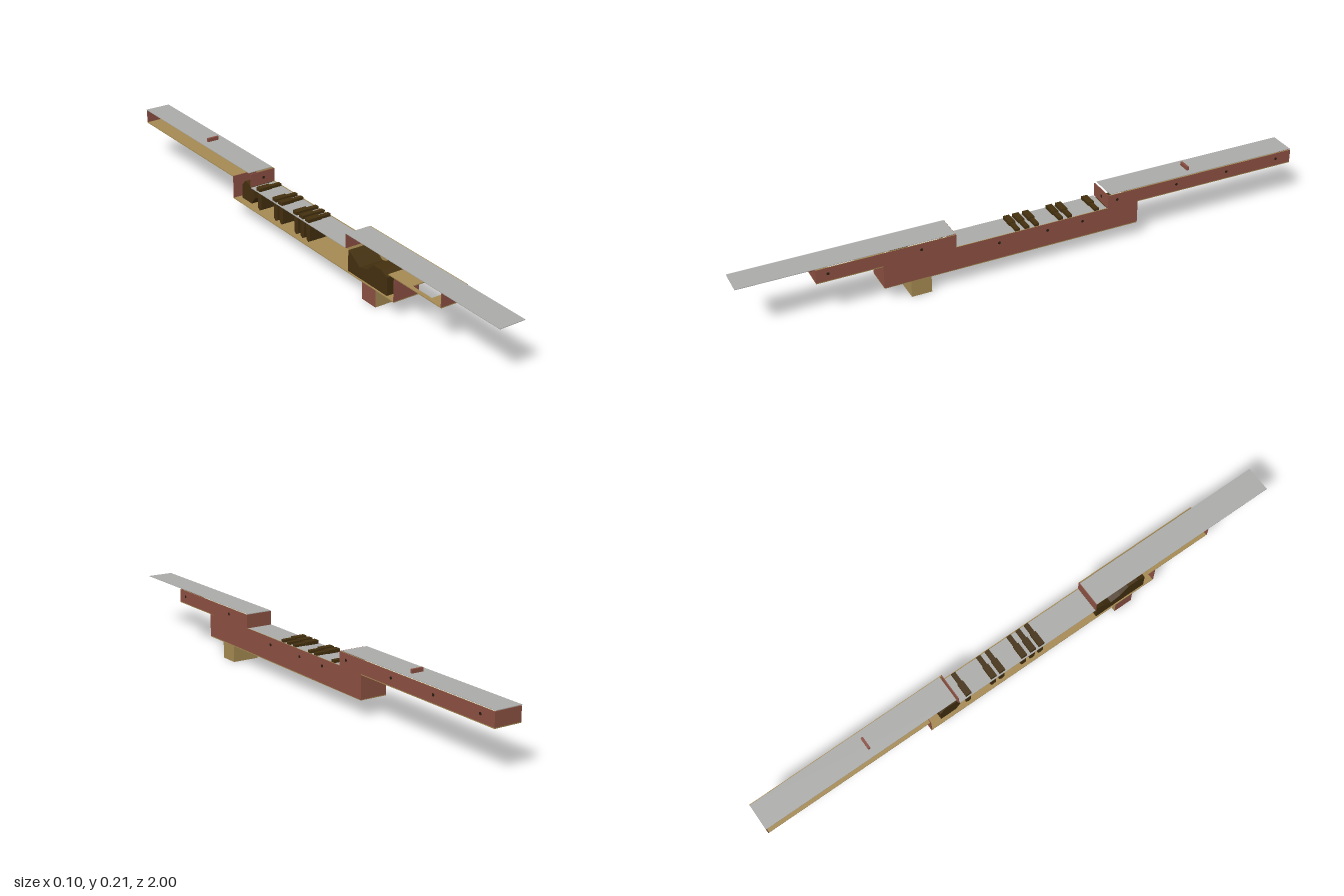
import * as THREE from 'three';

const mat = (name, color, side = THREE.FrontSide) => {
  const m = new THREE.MeshStandardMaterial({ color, side });
  m.name = name;
  return m;
};

export function createModel() {
  const red = mat('brick red', 0x8c5042);
  const tan = mat('bare wood', 0xa58a52);
  const dark = mat('dark brown', 0x44300f);
  const grey = mat('lid grey', 0xacacaa);
  const black = mat('screw', 0x2a1c10);
  const model = new THREE.Group();
  const T = 0.003; // panel thickness

  const add = (name, geo, material) => {
    const m = new THREE.Mesh(geo, material);
    m.name = name;
    model.add(m);
    return m;
  };
  // box given by its limits on each axis
  const box = (name, material, x0, x1, y0, y1, z0, z1) => {
    const m = add(name, new THREE.BoxGeometry(x1 - x0, y1 - y0, z1 - z0), material);
    m.position.set((x0 + x1) / 2, (y0 + y1) / 2, (z0 + z1) / 2);
    return m;
  };
  // outline in (z, y), extruded across x
  const slab = (name, material, pts, x0, x1) => {
    const s = new THREE.Shape(pts.map(p => new THREE.Vector2(...p)));
    const g = new THREE.ExtrudeGeometry(s, { depth: x1 - x0, bevelEnabled: false });
    g.rotateY(-Math.PI / 2).translate(x1, 0, 0);
    return add(name, g, material);
  };

  // side panel: painted outside, bare wood inside; the other side stays open
  const sideSkin = [red, tan, tan, tan, red, red];
  box('rearSide', sideSkin, 0.048 - T, 0.048, 0.143, 0.19, -1, -0.27);
  box('middleSide', sideSkin, 0.048 - T, 0.048, 0.06, 0.143, -0.385, 0.53);
  box('frontSide', sideSkin, 0.048 - T, 0.048, 0.143, 0.19, 0.28, 0.75);

  // cross walls
  const walls = [[-1 + T, 0.143, 0.19], [-0.27, 0.143, 0.19], [-0.385 + T, 0.06, 0.143],
    [0.28 + T, 0.14, 0.19], [0.53, 0.06, 0.14], [0.75, 0.143, 0.19]];
  for (const [z, y0, y1] of walls) box('endWall', red, -0.049, 0.048, y0, y1, z - T, z);

  // floors; the front one has a rectangular opening
  box('rearFloor', tan, -0.049, 0.048, 0.14, 0.143, -1, -0.385);
  box('middleFloor', tan, -0.049, 0.048, 0.058, 0.061, -0.385, 0.53);
  const rect = (C, x0, x1, z0, z1) => new C([[x0, z0], [x1, z0], [x1, z1], [x0, z1]]
    .map(p => new THREE.Vector2(...p)));
  const floor = rect(THREE.Shape, -0.049, 0.048, 0.5, 0.75);
  floor.holes.push(rect(THREE.Path, -0.035, 0.035, 0.6, 0.69));
  const floorGeo = new THREE.ExtrudeGeometry(floor, { depth: T, bevelEnabled: false });
  add('frontFloor', floorGeo.rotateX(Math.PI / 2).translate(0, 0.143, 0), tan);

  // thin lids, the front one slid forward
  box('rearLid', grey, -0.05, 0.045, 0.191, 0.193, -1, -0.28);
  box('middleLid', grey, -0.05, 0.045, 0.14, 0.142, -0.268, 0.279);
  box('frontLid', grey, -0.05, 0.043, 0.19, 0.192, 0.282, 1);
  box('lidStop', red, -0.023, 0.02, 0.18, 0.206, -0.6, -0.592);

  // foot, painted on the open side
  box('foot', [tan, red, tan, tan, tan, tan], -0.049, 0.048, 0, 0.059, 0.37, 0.44);

  // keys with a wide and a narrow half, on hanging stems
  for (const z of [0.062, 0.028, -0.008, -0.096, -0.13, -0.23]) {
    box('keyHead', dark, -0.045, 0.004, 0.137, 0.154, z - 0.011, z + 0.011);
    box('keyTail', dark, 0.004, 0.044, 0.137, 0.151, z - 0.008, z + 0.008);
    slab('keyStem', dark, [[z - 0.012, 0.138], [z - 0.01, 0.075], [z, 0.068],
      [z + 0.01, 0.075], [z + 0.012, 0.138]], -0.04, 0.03);
  }

  // solid blocks inside both ends of the middle box
  slab('frontBlock', dark, [[0.29, 0.062], [0.49, 0.062], [0.49, 0.125], [0.46, 0.138],
    [0.42, 0.138], [0.39, 0.11], [0.35, 0.1], [0.32, 0.12], [0.29, 0.135]], -0.045, 0.044);
  slab('rearBlock', dark, [[-0.34, 0.075], [-0.28, 0.075], [-0.262, 0.1], [-0.265, 0.138],
    [-0.32, 0.145], [-0.34, 0.125]], -0.04, 0.04);

  // screw heads on the side and the cross walls
  const screw = new THREE.CylinderGeometry(0.005, 0.005, 0.002, 10);
  const sideScrews = [[0.71, 0.168], [0.4, 0.168], [0.13, 0.118], [-0.045, 0.118], [-0.175, 0.118],
    [-0.305, 0.168], [-0.535, 0.168], [-0.735, 0.168], [-0.94, 0.168]];
  for (const [z, y] of sideScrews) {
    const s = add('sideScrew', screw, black);
    s.rotation.z = Math.PI / 2;
    s.position.set(0.048, y, z);
  }
  for (const z of [0.75, -0.27]) {
    const s = add('wallScrew', screw, black);
    s.rotation.x = Math.PI / 2;
    s.position.set(0.003, 0.167, z);
  }
  return model;
}
